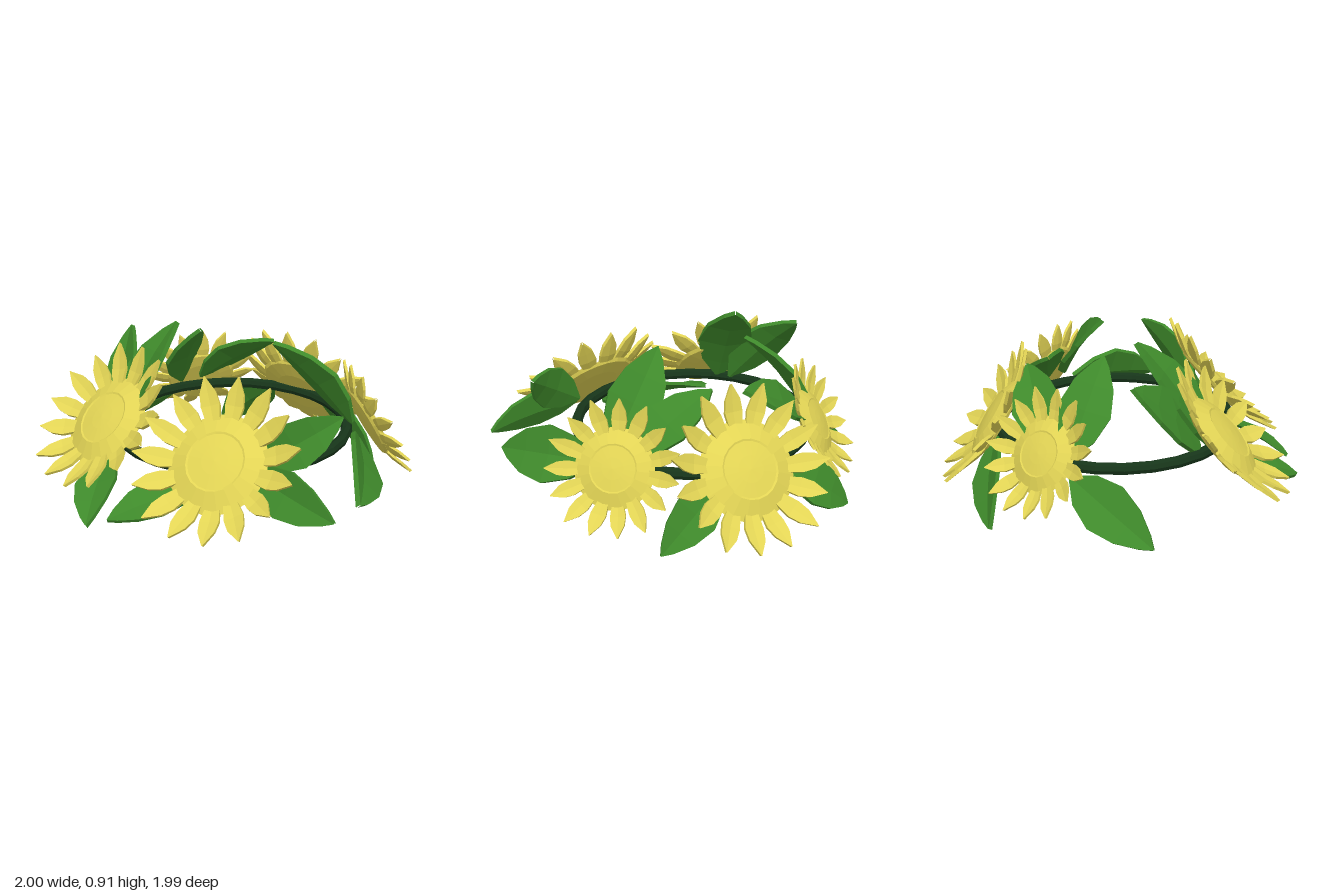
import * as THREE from 'three';

const mat = (color) => new THREE.MeshStandardMaterial({ color, flatShading: true });
const V = (a) => new THREE.Vector3(...a);

// Thin pointed blade along +y facing +z. stations: [y, half width, height]
function bladeGeometry(stations, thick, fold) {
  const pos = [], idx = [];
  for (const [y, w, h] of stations) {
    const f = fold * w, t = thick / 2;
    pos.push(-w, y, h + t + f, 0, y, h + t, w, y, h + t + f);
    pos.push(w, y, h - t + f, 0, y, h - t, -w, y, h - t + f);
  }
  for (let i = 0; i < stations.length - 1; i++) {
    for (let j = 0; j < 6; j++) {
      const a = i * 6 + j, b = i * 6 + (j + 1) % 6;
      idx.push(a, b, b + 6, a, b + 6, a + 6);
    }
  }
  const g = new THREE.BufferGeometry();
  g.setAttribute('position', new THREE.Float32BufferAttribute(pos, 3));
  g.setIndex(idx);
  g.computeVertexNormals();
  return g;
}

// Turn an object so its +y follows dir and its +z leans toward facing
function orient(obj, dir, facing) {
  const y = dir.clone().normalize();
  const z = facing.clone().addScaledVector(y, -facing.dot(y)).normalize();
  const x = new THREE.Vector3().crossVectors(y, z);
  obj.quaternion.setFromRotationMatrix(new THREE.Matrix4().makeBasis(x, y, z));
}

export function createModel() {
  const crown = new THREE.Group();
  crown.name = 'flowerCrown';
  const yellow = mat(0xe2d455), green = mat(0x3f8a2b), dark = mat(0x17351a);

  // Ring of stem
  const ring = new THREE.Mesh(new THREE.TorusGeometry(0.645, 0.032, 8, 28), dark);
  ring.name = 'stemRing';
  ring.rotation.x = Math.PI / 2;
  ring.position.set(-0.015, 0.36, 0);
  crown.add(ring);

  // Flower head: raised centre, sloping rim and closed back
  const headGeo = new THREE.LatheGeometry([
    [0, -0.07], [0.15, -0.07], [0.245, -0.058], [0.262, -0.042],
    [0.155, 0], [0.145, -0.004], [0.07, 0.004], [0, 0.008],
  ].map(([r, h]) => new THREE.Vector2(r, h)), 20);
  headGeo.rotateX(Math.PI / 2);
  const petalGeo = bladeGeometry([
    [0, 0.036, 0], [0.08, 0.05, 0.02], [0.14, 0.042, 0.046], [0.215, 0.002, 0.08],
  ], 0.018, 0.12);

  // [centre, facing, scale]
  const flowers = [
    [[-0.475, 0.465, 0.56], [-0.17, 0.69, 0.7], 1.01],
    [[0.35, 0.455, 0.635], [0.13, 0.67, 0.73], 1.02],
    [[0.02, 0.39, -0.71], [0, 0.56, -0.83], 1.01],
    [[-0.58, 0.42, -0.43], [-0.62, 0.5, -0.6], 0.78],
    [[0.65, 0.41, -0.42], [0.58, 0.47, -0.67], 0.81],
  ];
  const petals = 15;
  for (const [centre, facing, scale] of flowers) {
    const flower = new THREE.Group();
    flower.name = 'flower';
    const head = new THREE.Mesh(headGeo, yellow);
    head.name = 'flowerHead';
    flower.add(head);
    for (let i = 0; i < petals; i++) {
      const a = (i / petals) * Math.PI * 2;
      const petal = new THREE.Mesh(petalGeo, yellow);
      petal.name = 'petal';
      petal.rotation.z = a;
      petal.position.set(-Math.sin(a) * 0.22, Math.cos(a) * 0.22, -0.05 + (i % 2) * 0.008);
      petal.scale.y = 1 + 0.05 * Math.sin(i * 2.3);
      flower.add(petal);
    }
    const n = V(facing).normalize();
    orient(flower, new THREE.Vector3(0, 1, 0).addScaledVector(n, -n.y), n);
    flower.position.set(...centre);
    flower.scale.setScalar(scale);
    crown.add(flower);
  }

  // Leaves, unit length: [base, tip, facing]
  const leafGeo = bladeGeometry([
    [0, 0.02, 0], [0.2, 0.17, 0.02], [0.45, 0.24, 0.04],
    [0.7, 0.185, 0.035], [0.9, 0.08, 0.015], [1, 0.004, 0],
  ], 0.04, 0.2);
  const leaves = [
    // hanging below the back flower
    [[-0.18, 0.34, -0.66], [-0.61, 0.01, -0.69], [-0.3, 0.5, -0.85]],
    [[0.15, 0.34, -0.66], [0.52, 0.01, -0.69], [0.3, 0.4, -0.85]],
    // along the sides
    [[0.66, 0.36, -0.23], [0.99, 0.27, 0.32], [1, 0.6, -0.4]],
    [[-0.66, 0.32, -0.27], [-0.99, 0.08, 0.12], [-1, 0.7, -0.3]],
    // beside the front flowers
    [[0.48, 0.38, 0.5], [0.99, 0.27, 0.54], [0, 0.35, 1]],
    [[0.48, 0.4, 0.47], [0.83, 0.67, 0.22], [0.5, 0.2, 0.9]],
    [[-0.48, 0.38, 0.4], [-0.71, 0.81, 0.03], [-0.45, 0.65, 0.9]],
    [[-0.44, 0.37, 0.47], [-0.33, 0.91, 0.08], [-0.4, 0.7, 0.8]],
    // tucked under the front flowers
    [[-0.42, 0.25, 0.58], [-0.2, 0.07, 1], [0, 0.8, 0.65]],
    [[0.22, 0.26, 0.6], [-0.08, 0.13, 0.97], [-0.1, 0.9, 0.9]],
    // rising inward from the back side flowers
    [[-0.53, 0.42, -0.37], [-0.06, 0.71, -0.48], [-0.2, 1, -0.5]],
    [[0.52, 0.42, -0.38], [0.06, 0.7, -0.37], [0.2, 1, -0.5]],
    [[-0.61, 0.4, -0.28], [-0.3, 0.83, -0.08], [-0.75, 0.65, 0.05]],
    [[0.6, 0.42, -0.28], [0.22, 0.86, -0.06], [0.11, 0.51, -0.74]],
  ];
  for (const [base, tip, facing] of leaves) {
    const dir = V(tip).sub(V(base));
    const leaf = new THREE.Mesh(leafGeo, green);
    leaf.name = 'leaf';
    leaf.position.set(...base);
    leaf.scale.setScalar(dir.length());
    orient(leaf, dir, V(facing));
    crown.add(leaf);
  }
  return crown;
}
